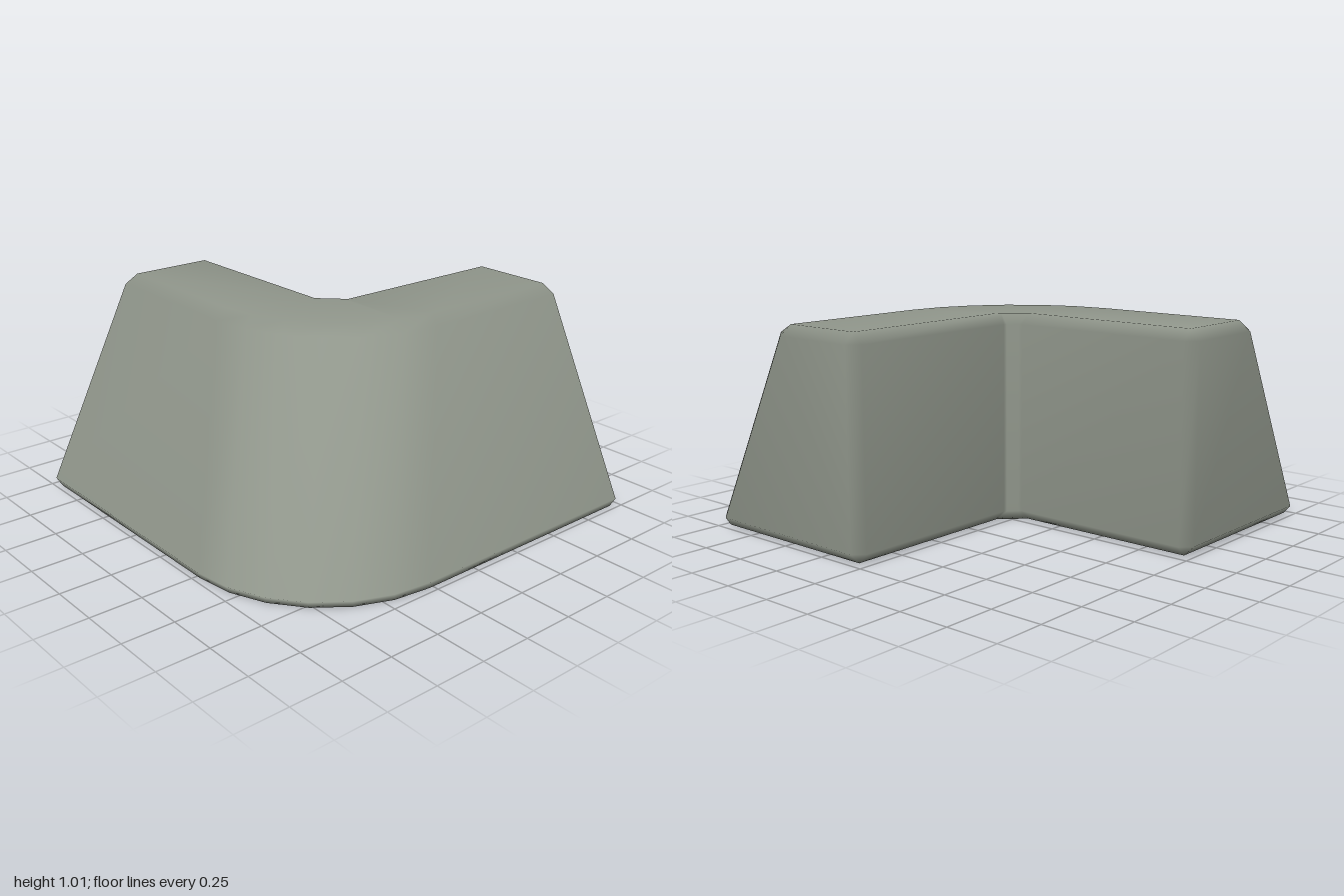
import * as THREE from 'three';
import { mergeVertices } from 'three/addons/utils/BufferGeometryUtils.js';

// Chamfered cross-section: [distance out from the inner corner, height, corner arc centre]
const SECTION = [
  [0.06, 0, -0.05], [0.01, 0.05, -0.05],       // inner bottom
  [0.01, 0.96, -0.05], [0.06, 1.01, -0.05],    // inner top
  [0.465, 1.01, -0.2], [0.535, 0.97, -0.165],  // outer top
  [1, 0.05, 0.3], [0.97, 0, 0.27],             // outer bottom
];
// Inset section for the end faces; neighbouring points coincide
const END = [[0.06, 0.05], [0.06, 0.96], [0.48, 0.96], [0.94, 0.05]];
const ARC_STEPS = 6;

function sweepCorner() {
  const rings = [];
  const endRing = (place) => SECTION.map((s, j) => place(...END[j >> 1]));

  // left arm, from its end face to the bend
  rings.push(endRing((p, y) => [-1, y, p]));
  rings.push(SECTION.map(([p, y]) => [-0.95, y, p]));

  // bend: rounded outside, one straight chamfer inside
  for (let i = 0; i <= ARC_STEPS; i++) {
    const t = i / ARC_STEPS;
    const a = (1 - t) * Math.PI / 2;
    rings.push(SECTION.map(([p, y, c], j) => {
      const r = p - c;
      return j < 4 ? [c + r * t, y, c + r * (1 - t)]
        : [c + r * Math.cos(a), y, c + r * Math.sin(a)];
    }));
  }

  // rear arm, out to its end face
  rings.push(SECTION.map(([p, y]) => [p, y, -0.95]));
  rings.push(endRing((p, y) => [p, y, -1]));

  const n = SECTION.length;
  const index = [];
  for (let i = 0; i < rings.length - 1; i++) {
    for (let j = 0; j < n; j++) {
      const a = i * n + j, b = i * n + (j + 1) % n;
      index.push(a, b, a + n, b, b + n, a + n);
    }
  }
  // end faces
  const e = (rings.length - 1) * n;
  index.push(0, 4, 2, 0, 6, 4, e, e + 2, e + 4, e, e + 4, e + 6);

  const geometry = new THREE.BufferGeometry();
  geometry.setAttribute('position', new THREE.Float32BufferAttribute(rings.flat(2), 3));
  geometry.setIndex(index);
  const merged = mergeVertices(geometry, 1e-4);
  // area-weighted normals keep the large faces flat and the chamfers soft
  merged.computeVertexNormals();
  return merged;
}

export function createModel() {
  const group = new THREE.Group();
  group.name = 'cornerBlock';
  const stone = new THREE.MeshStandardMaterial({ color: 0x91978c });
  stone.name = 'greyGreenStone';
  const wall = new THREE.Mesh(sweepCorner(), stone);
  wall.name = 'slopedCornerWall';
  group.add(wall);
  return group;
}
